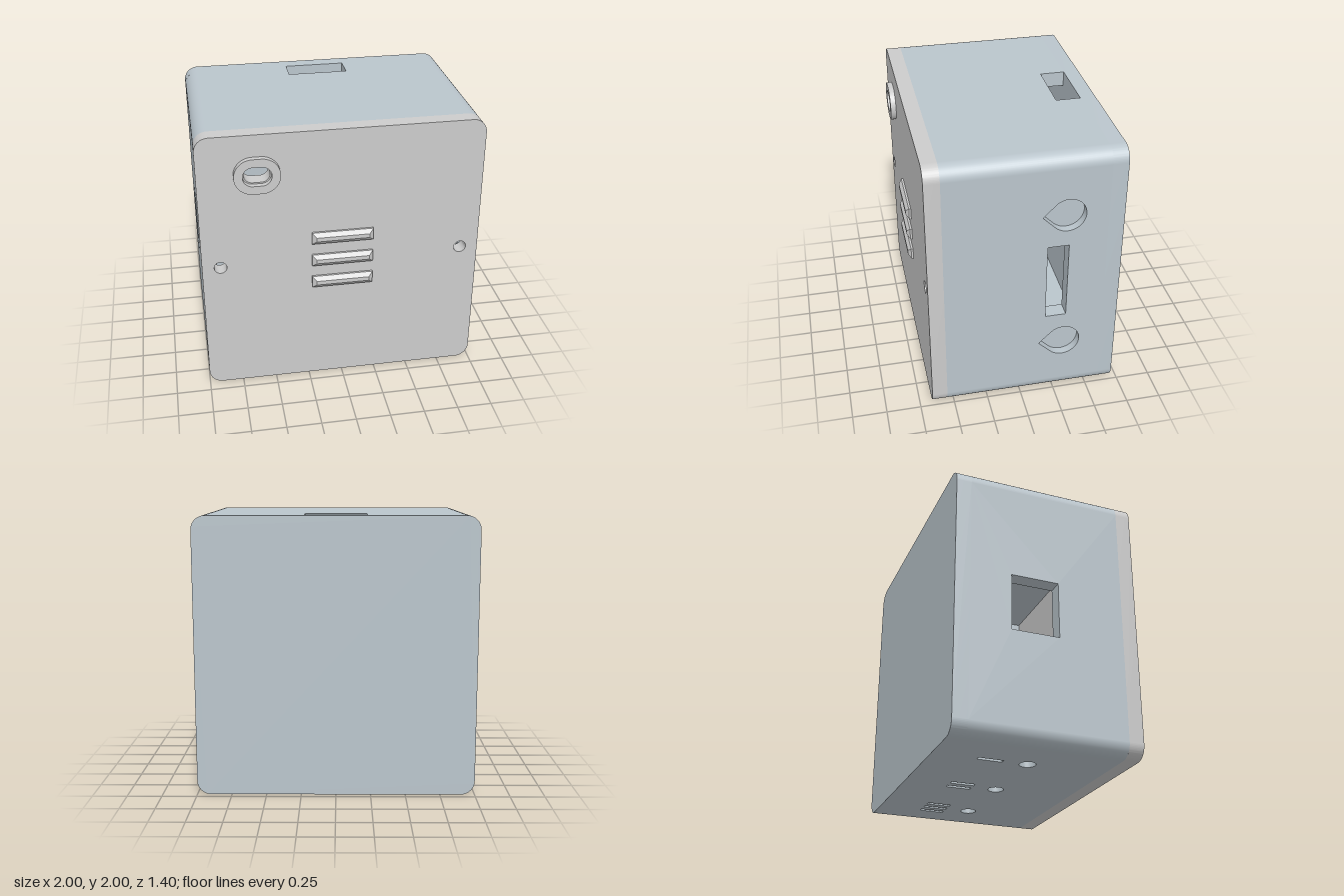
import * as THREE from 'three';
import { toCreasedNormals } from 'three/addons/utils/BufferGeometryUtils.js';

const R = 0.1, WALL = 0.11, BACK = -0.7, SEAM = 0.55, FRONT = 0.66;
const bodyMat = new THREE.MeshStandardMaterial({ color: 0xbac5cc });
const lidMat = new THREE.MeshStandardMaterial({ color: 0xcccccc });

// Rounded rectangle centred on (x, y); r = 0 gives sharp corners
function rect(x, y, w, h, r = 0) {
  const s = new THREE.Shape();
  const a = w / 2 - r, b = h / 2 - r;
  const corners = [[a, -b], [a, b], [-a, b], [-a, -b]];
  corners.forEach(([cx, cy], i) => {
    if (r > 0) s.absarc(x + cx, y + cy, r, (i - 1) * Math.PI / 2, i * Math.PI / 2, false);
    else if (i === 0) s.moveTo(x + cx, y + cy);
    else s.lineTo(x + cx, y + cy);
  });
  s.closePath();
  return s;
}

function circle(x, y, r) {
  return new THREE.Shape().absarc(x, y, r, 0, Math.PI * 2, false);
}

// Circle with a 45 degree point towards +y
function teardrop(x, y, r) {
  const s = new THREE.Shape();
  s.absarc(x, y, r, Math.PI * 0.75, Math.PI * 2.25, false);
  s.lineTo(x, y + r * Math.SQRT2);
  s.closePath();
  return s;
}

function plate(shape, holes, depth, z) {
  shape.holes.push(...holes);
  const geo = new THREE.ExtrudeGeometry(shape, { depth, bevelEnabled: false, curveSegments: 16 });
  return toCreasedNormals(geo.translate(0, 0, z), 0.5);
}

function add(parent, name, geo, mat) {
  const mesh = new THREE.Mesh(geo, mat);
  mesh.name = name;
  parent.add(mesh);
  return mesh;
}

// Side wall in two layers: "through" cuts both, "recess" cuts only the outer one.
// Wall coordinates are (along the wall, z); the angle turns it around the z axis.
function wall(parent, name, angle, through, recess = [], recessDepth = 0.05) {
  const toWall = new THREE.Matrix4().makeBasis(
    new THREE.Vector3(0, 1, 0), new THREE.Vector3(0, 0, 1), new THREE.Vector3(1, 0, 0));
  const z0 = BACK + WALL;
  const outline = () => rect(0, (z0 + SEAM) / 2, 2 - 2 * R, SEAM - z0);
  const g = new THREE.Group();
  g.name = name;
  const inner = plate(outline(), through, WALL - recessDepth, 1 - WALL);
  const outer = plate(outline(), [...through, ...recess], recessDepth, 1 - recessDepth);
  add(g, name + 'Inner', inner.applyMatrix4(toWall), bodyMat);
  add(g, name + 'Outer', outer.applyMatrix4(toWall), bodyMat);
  g.rotation.z = angle;
  parent.add(g);
}

export function createModel() {
  const model = new THREE.Group();
  model.name = 'enclosure';
  const box = new THREE.Group();
  box.name = 'box';
  box.position.y = 1;
  model.add(box);

  // Back panel
  add(box, 'backPanel', plate(rect(0, 0, 2, 2, R), [], WALL, BACK), bodyMat);

  // Left wall: long slot between two teardrop pockets
  wall(box, 'leftWall', 0, [rect(0, -0.245, 0.6, 0.15)],
    [-0.545, 0.545].map(u => teardrop(u, -0.305, 0.125)), 0.06);

  // Top wall with its slot, right wall with its window
  wall(box, 'topWall', Math.PI / 2, [rect(0, -0.5, 0.44, 0.178)]);
  wall(box, 'rightWall', Math.PI, [rect(0, -0.115, 0.42, 0.35)]);

  // Bottom wall: three round holes, marked with one, two and three engraved bars
  const holes = [], marks = [];
  [-0.6, 0, 0.6].forEach((x, i) => {
    holes.push(circle(x, -0.02, 0.058));
    for (let k = 0; k <= i; k++) marks.push(rect(x + (k - i / 2) * 0.09, -0.29, 0.035, 0.18));
  });
  wall(box, 'bottomWall', -Math.PI / 2, holes, marks, 0.04);

  // Rounded corners joining the walls
  const length = SEAM - BACK - WALL;
  for (let i = 0; i < 4; i++) {
    const geo = new THREE.CylinderGeometry(R, R, length, 12, 1, true, 0, Math.PI / 2);
    geo.rotateX(Math.PI / 2);
    // the quarter round starts out facing +x, -y
    geo.rotateZ(Math.PI / 2).translate(1 - R, 1 - R, (SEAM + BACK + WALL) / 2);
    geo.rotateZ(i * Math.PI / 2);
    add(box, 'cornerEdge', geo, bodyMat);
  }

  // Front lid with two screw holes and the opening behind the collar
  const cx = -0.59, cy = 0.71;
  add(box, 'lid', plate(rect(0, 0, 2, 2, R), [
    circle(-0.87, 0, 0.045), circle(0.87, 0, 0.045), rect(cx, cy, 0.18, 0.12, 0.0599),
  ], FRONT - SEAM, SEAM), lidMat);

  // Raised oval collar
  add(box, 'collar', plate(rect(cx, cy, 0.32, 0.26, 0.1299),
    [rect(cx, cy, 0.2, 0.14, 0.0699)], 0.04, FRONT), lidMat);

  // Three bevelled ribs
  for (const y of [0.18, 0, -0.18]) {
    const geo = new THREE.ExtrudeGeometry(rect(0, 0, 0.38, 0.03), {
      depth: 0.015, bevelThickness: 0.023, bevelSize: 0.03, bevelSegments: 1,
    });
    add(box, 'rib', geo.translate(0, y, FRONT), lidMat);
  }
  return model;
}
